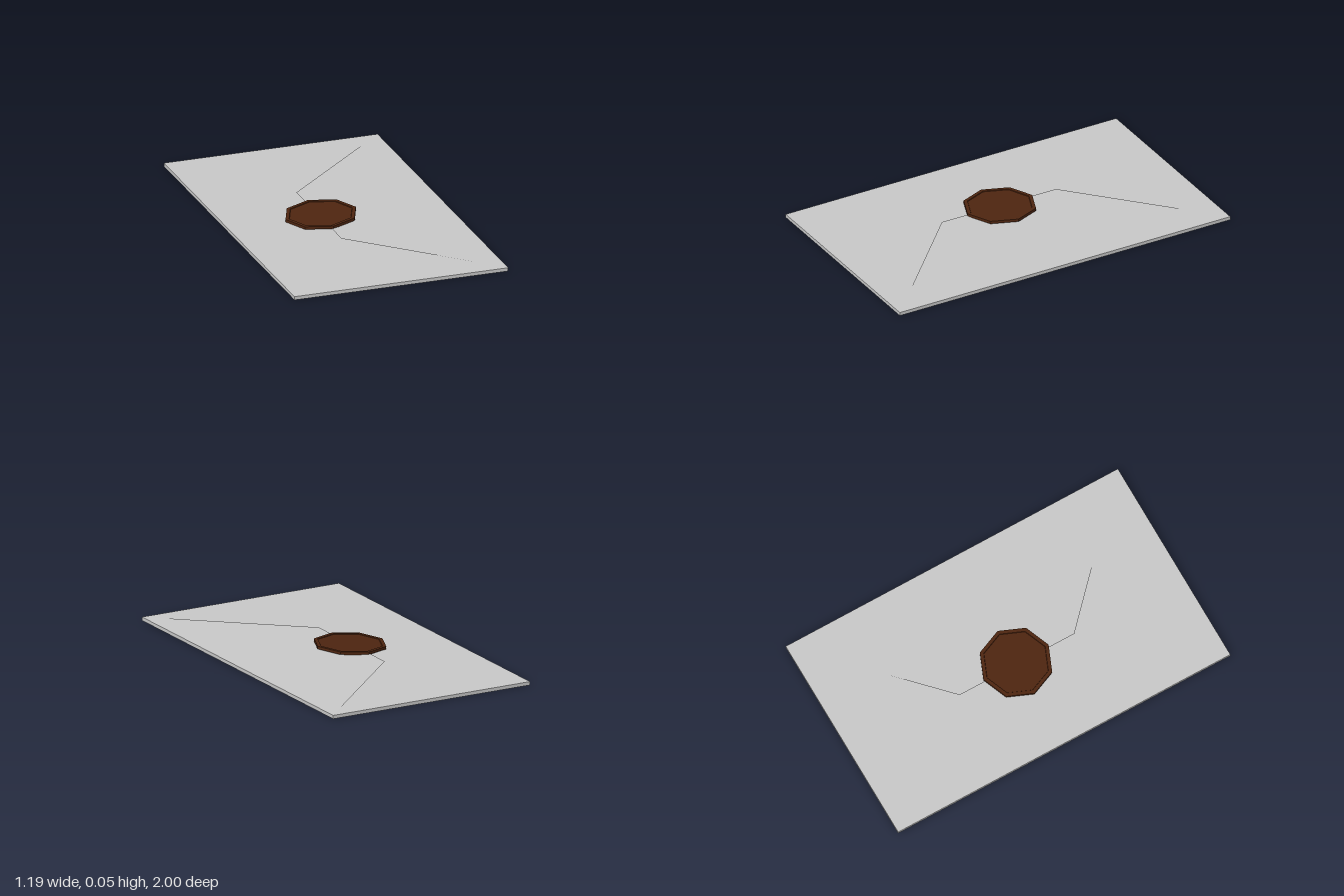
import * as THREE from 'three';

export function createModel() {
  const group = new THREE.Group();
  group.name = 'sealedEnvelope';
  const paper = new THREE.MeshStandardMaterial({ color: 0xc8c8c8, flatShading: true, side: THREE.DoubleSide });
  paper.name = 'paper grey';
  const wax = new THREE.MeshStandardMaterial({ color: 0x4e2510, flatShading: true });
  wax.name = 'wax brown';

  const add = (name, geometry, material) => {
    const mesh = new THREE.Mesh(geometry, material);
    mesh.name = name;
    group.add(mesh);
    return mesh;
  };

  // Envelope body: a thin flat slab
  const thick = 0.019;
  add('body', new THREE.BoxGeometry(1.19, thick, 2), paper).position.y = thick / 2;

  // Flap: a sheet hinged on the +x edge, tapering and lifting toward the seal
  const flap = new THREE.BufferGeometry();
  flap.setAttribute('position', new THREE.Float32BufferAttribute([
    0.595, 0.0195, 1,
    0.595, 0.0195, -1,
    -0.095, 0.031, -0.345,
    -0.095, 0.031, 0.345,
  ], 3));
  flap.setIndex([0, 1, 2, 0, 2, 3]);
  flap.computeVertexNormals();
  add('flap', flap, paper);

  // Wax seal: eight-sided disc with a shallow recess, leaning on the flap
  const profile = [
    [0, -0.0075], [0.196, -0.0075], [0.196, 0.0075],
    [0.176, 0.0075], [0.174, 0.004], [0, 0.004],
  ].map(([r, y]) => new THREE.Vector2(r, y));
  const seal = add('waxSeal', new THREE.LatheGeometry(profile, 8), wax);
  seal.position.set(-0.085, 0.036, 0);
  seal.rotation.z = 0.045;

  return group;
}
